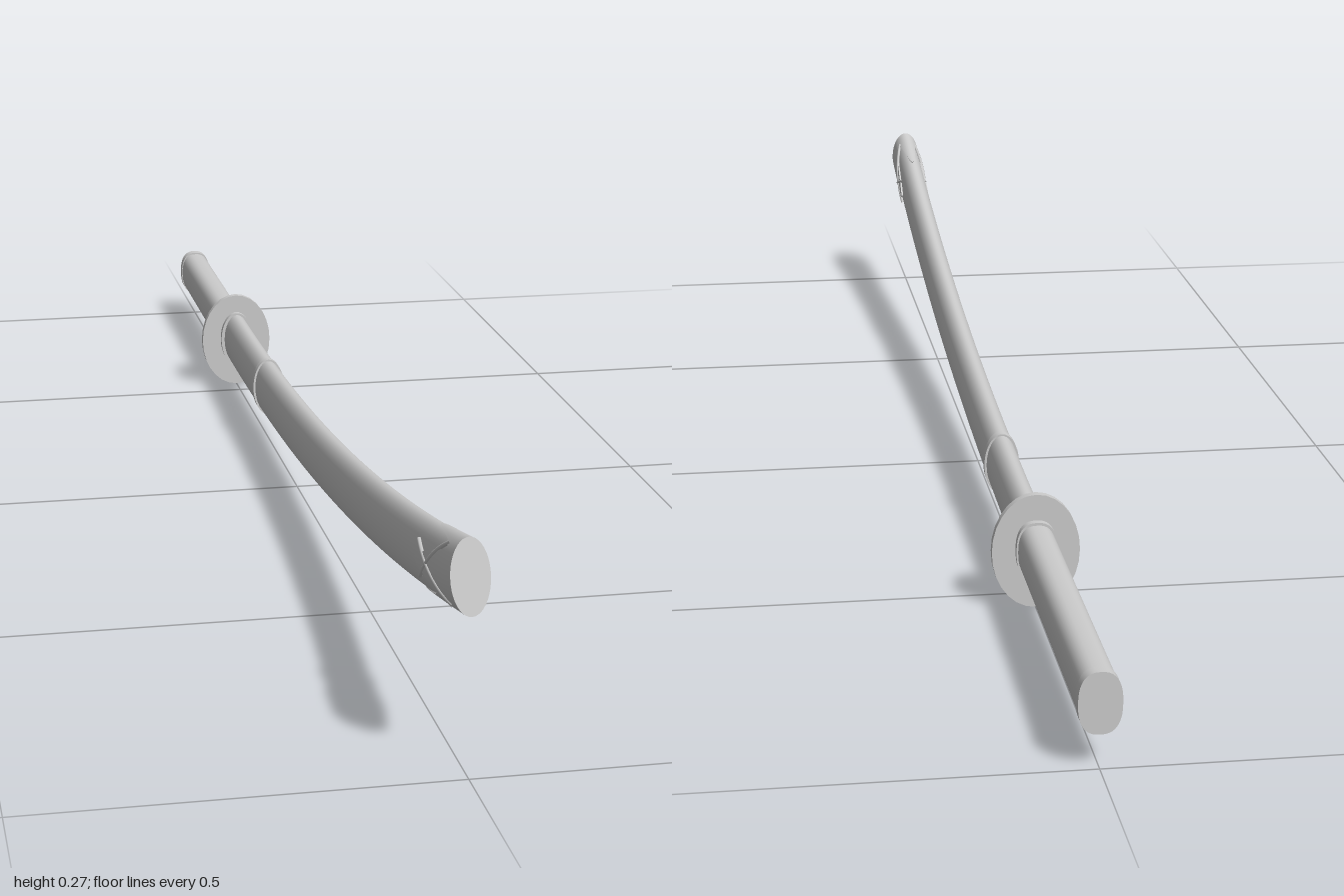
import * as THREE from 'three';

const material = new THREE.MeshStandardMaterial({ color: 0xcccccc });
const SIDES = 40;

// Centre line: straight handle, then a gentle upward bow
const BOW = 0.0594, POWER = 2.2;
const centreY = z => 0.077 + BOW * Math.pow(Math.max(0, z + 0.54), POWER);
const slope = z => BOW * POWER * Math.pow(Math.max(0, z + 0.54), POWER - 1);

// Point on an oval (or squarer, n > 2) section standing square to the centre line
function surfacePoint(z, angle, rx, ry, n = 2) {
  const rounded = v => Math.sign(v) * Math.pow(Math.abs(v), 2 / n);
  const up = ry * rounded(Math.sin(angle));
  const s = slope(z), len = Math.hypot(1, s);
  return new THREE.Vector3(rx * rounded(Math.cos(angle)), centreY(z) + up / len, z - up * s / len);
}

// Loft through stations [z, rx, ry]; z may be a function of the angle
function sweep(name, stations, { n = 2, capStart = true, capEnd = true } = {}) {
  const pos = [], index = [];
  const rings = stations.map(([z, rx, ry]) => Array.from({ length: SIDES }, (_, j) => {
    const a = j / SIDES * Math.PI * 2;
    return surfacePoint(typeof z === 'function' ? z(a) : z, a, rx, ry, n);
  }));
  rings.forEach(ring => ring.forEach(p => pos.push(p.x, p.y, p.z)));
  for (let i = 0; i < rings.length - 1; i++) {
    for (let j = 0; j < SIDES; j++) {
      const k = (j + 1) % SIDES;
      const a = i * SIDES + j, b = i * SIDES + k, c = a + SIDES, d = b + SIDES;
      index.push(a, b, c, b, d, c);
    }
  }
  // Flat ends with their own vertices keep the rims sharp
  const cap = (ring, flip) => {
    const first = pos.length / 3;
    ring.forEach(p => pos.push(p.x, p.y, p.z));
    for (let j = 1; j < SIDES - 1; j++) {
      if (flip) index.push(first, first + j + 1, first + j);
      else index.push(first, first + j, first + j + 1);
    }
  };
  if (capStart) cap(rings[0], true);
  if (capEnd) cap(rings[rings.length - 1], false);
  const geometry = new THREE.BufferGeometry();
  geometry.setAttribute('position', new THREE.Float32BufferAttribute(pos, 3));
  geometry.setIndex(index);
  geometry.computeVertexNormals();
  const mesh = new THREE.Mesh(geometry, material);
  mesh.name = name;
  return mesh;
}

export function createModel() {
  const group = new THREE.Group();
  group.name = 'sheathedSword';

  // Handle with a slightly flared pommel
  group.add(sweep('handle', [[-0.99, 0.0235, 0.034], [-0.545, 0.0235, 0.034]], { n: 2.5 }));
  group.add(sweep('pommel', [[-1, 0.0245, 0.0365], [-0.985, 0.0245, 0.0365]], { n: 2.5 }));

  // Oval guard disc
  const guardGeometry = new THREE.CylinderGeometry(1, 1, 0.01, 28);
  guardGeometry.rotateX(Math.PI / 2);
  guardGeometry.scale(0.055, 0.074, 1);
  const guard = new THREE.Mesh(guardGeometry, material);
  guard.name = 'guard';
  guard.position.set(0, 0.074, -0.542);
  group.add(guard);

  // Collars either side of the guard
  group.add(sweep('frontCollar', [[-0.54, 0.0255, 0.0435], [-0.528, 0.0255, 0.0435]]));
  group.add(sweep('backCollar', [[-0.556, 0.0255, 0.0375], [-0.544, 0.0255, 0.0375]], { n: 2.5 }));

  // Curved scabbard
  const steps = 32;
  const body = Array.from({ length: steps + 1 }, (_, i) => [-0.54 + 1.5 * i / steps, 0.0205, 0.0405]);
  group.add(sweep('scabbard', body));
  group.add(sweep('scabbardBand', [[-0.245, 0.0235, 0.043], [-0.233, 0.0235, 0.043]]));

  // End fitting whose back edge runs out in pointed tongues
  const edge = a => 0.88 + 0.04 * Math.sin(a) - 0.05 * Math.cos(4 * a);
  const between = t => a => THREE.MathUtils.lerp(edge(a), 0.99, t);
  group.add(sweep('endFittingLip', [[edge, 0.0203, 0.0403], [edge, 0.0232, 0.0418]],
    { capStart: false, capEnd: false }));
  const shell = [0, 0.2, 0.4, 0.6, 0.8, 1].map(t => [between(t), 0.0232 - 0.001 * t, 0.0418 + 0.001 * t]);
  group.add(sweep('endFitting', shell, { capStart: false }));

  // Raised crossing bands on both sides of the end fitting
  for (const side of [0, Math.PI]) {
    for (const turn of [-1, 1]) {
      const points = Array.from({ length: 9 }, (_, i) => {
        const t = i / 8;
        return surfacePoint(0.84 + 0.12 * t, side + turn * (t - 0.35) * 1.5, 0.0225, 0.0415);
      });
      const band = new THREE.Mesh(
        new THREE.TubeGeometry(new THREE.CatmullRomCurve3(points), 24, 0.0025, 6), material);
      band.name = 'endFittingBand';
      group.add(band);
    }
  }
  return group;
}
